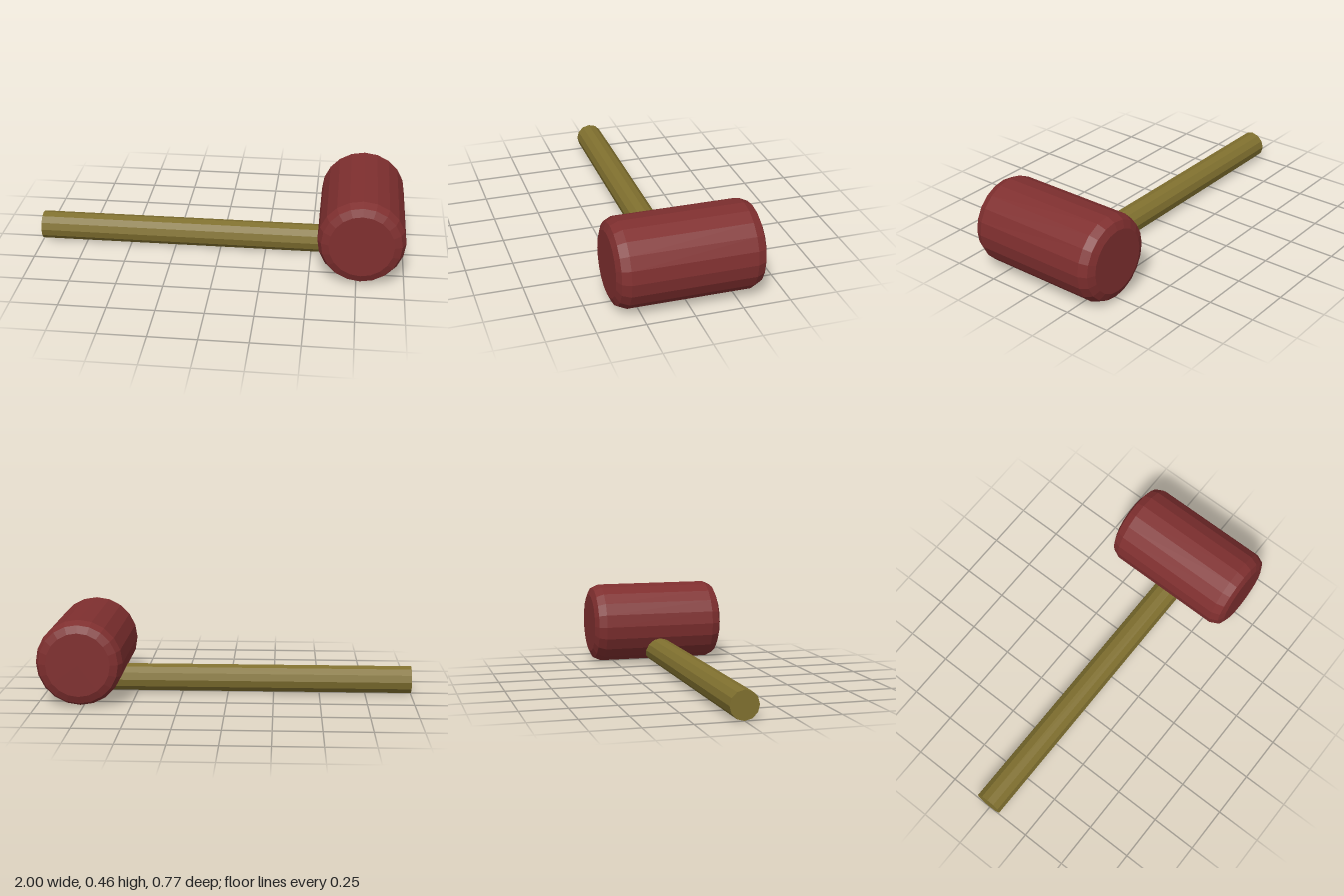
import * as THREE from 'three';

export function createModel() {
  const model = new THREE.Group();
  model.name = 'mallet';

  const redWood = new THREE.MeshStandardMaterial({ name: 'dark red', color: 0x7f2f2f, flatShading: true });
  const oliveWood = new THREE.MeshStandardMaterial({ name: 'olive brown', color: 0x80702f, flatShading: true });

  // Head: 20-sided barrel along z with two-step bevelled ends
  const halfProfile = [[0, 0.384], [0.17, 0.384], [0.21, 0.366], [0.23, 0.322]];
  const profile = [
    ...halfProfile.map(([r, h]) => new THREE.Vector2(r, -h)),
    ...halfProfile.map(([r, h]) => new THREE.Vector2(r, h)).reverse(),
  ];
  const head = new THREE.Mesh(new THREE.LatheGeometry(profile, 20), redWood);
  head.name = 'head';
  head.rotation.x = Math.PI / 2;
  head.position.set(0.77, 0.23, 0);
  model.add(head);

  // Handle: 12-sided rod along x, ending inside the head
  const start = -1, end = 0.69, radius = 0.076;
  const handle = new THREE.Mesh(new THREE.CylinderGeometry(radius, radius, end - start, 12), oliveWood);
  handle.name = 'handle';
  handle.rotation.z = -Math.PI / 2;
  handle.position.set((start + end) / 2, radius, 0);
  model.add(handle);

  return model;
}
